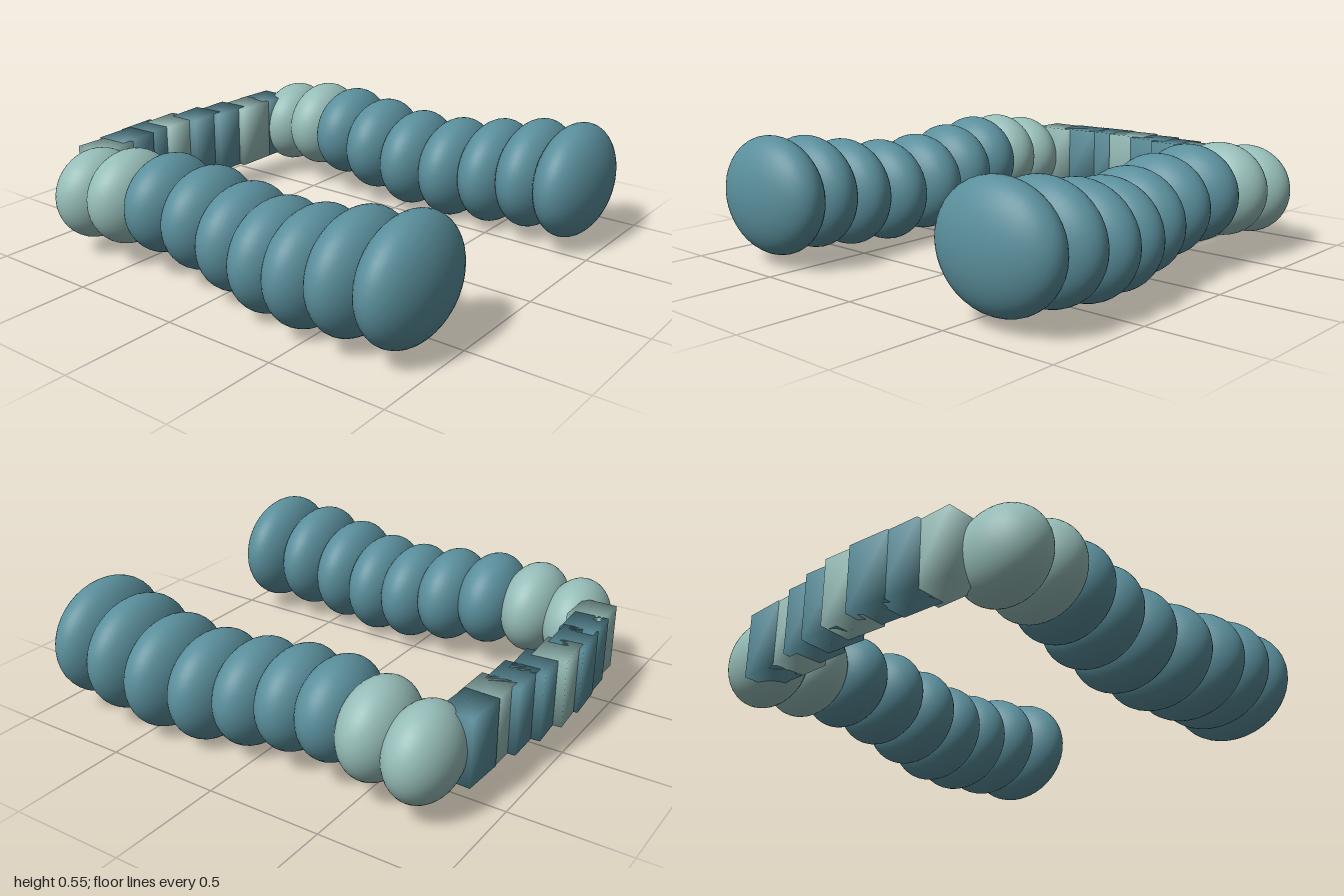
import * as THREE from 'three';
import { mergeVertices } from 'three/addons/utils/BufferGeometryUtils.js';

const teal = new THREE.MeshStandardMaterial({ color: 0x5a8f9c });
const pale = new THREE.MeshStandardMaterial({ color: 0x96bdb8 });

// Ring segments from front to back: [x, y, radius x, radius y]
const SEGMENTS = [
  [0.640, 0.302, 0.286, 0.253],
  [0.666, 0.285, 0.276, 0.245],
  [0.670, 0.253, 0.266, 0.238],
  [0.645, 0.235, 0.256, 0.230],
  [0.616, 0.248, 0.246, 0.222],
  [0.611, 0.278, 0.236, 0.215],
  [0.629, 0.300, 0.227, 0.209],
  [0.661, 0.292, 0.217, 0.204],
  [0.672, 0.265, 0.207, 0.196],
];

// Bridge blocks from -x to +x: [z, turn about y, pale?]
const BLOCKS = [
  [-0.875, 0.00, true],
  [-0.900, 0.05, false],
  [-0.917, 0.08, false],
  [-0.911, 0.08, true],
  [-0.886, 0.08, false],
  [-0.857, 0.03, false],
  [-0.828, 0.00, true],
  [-0.828, -0.04, false],
];

// Box with shared corners, for soft shading
function softBox(w, h, d) {
  const g = new THREE.BoxGeometry(w, h, d);
  g.deleteAttribute('normal');
  g.deleteAttribute('uv');
  const merged = mergeVertices(g);
  merged.computeVertexNormals();
  return merged;
}

function createArm(side, name) {
  const arm = new THREE.Group();
  arm.name = name;
  // Sphere poles lie along the arm
  const ball = new THREE.SphereGeometry(1, 40, 28).rotateX(Math.PI / 2);
  SEGMENTS.forEach(([x, y, rx, ry], i) => {
    const ring = new THREE.Mesh(ball, i > 6 ? pale : teal);
    ring.name = `armSegment${i + 1}`;
    ring.position.set(side * x - 0.003, y, 0.855 - i * 0.2);
    ring.scale.set(rx, ry, 0.143);
    arm.add(ring);
  });
  return arm;
}

function createBridge() {
  const bridge = new THREE.Group();
  bridge.name = 'bridge';
  const geometry = softBox(0.19, 0.288, 0.148);
  BLOCKS.forEach(([z, turn, isPale], i) => {
    const block = new THREE.Mesh(geometry, isPale ? pale : teal);
    block.name = `bridgeBlock${i + 1}`;
    block.position.set(-0.508 + i * 0.145, 0.27, z);
    block.rotation.y = turn;
    bridge.add(block);
  });
  return bridge;
}

export function createModel() {
  const model = new THREE.Group();
  model.name = 'segmentedArch';
  model.add(createArm(1, 'leftArm'), createArm(-1, 'rightArm'), createBridge());
  return model;
}
